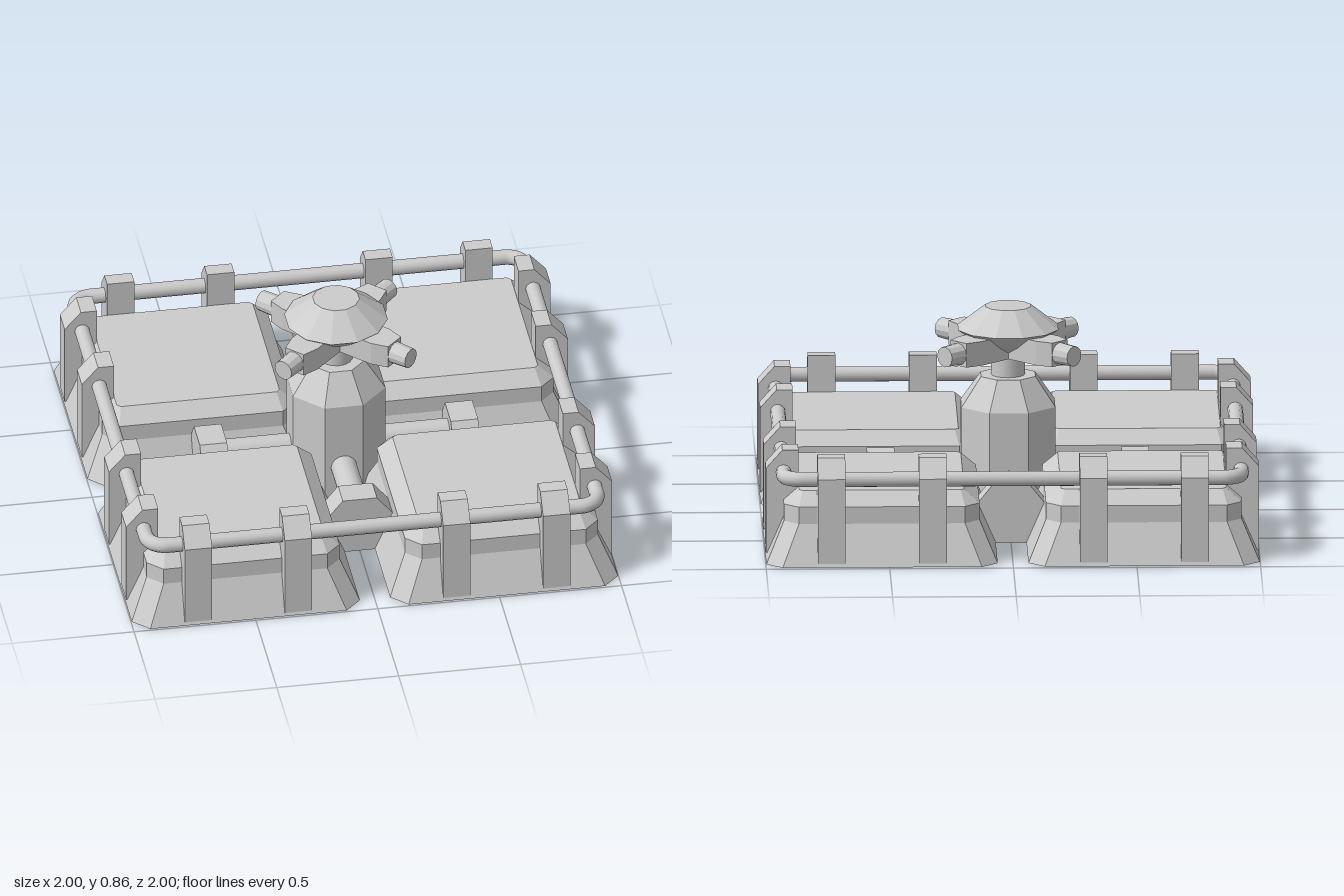
import * as THREE from 'three';

const flat = new THREE.MeshStandardMaterial({ color: 0xcccccc, flatShading: true });
const smooth = new THREE.MeshStandardMaterial({ color: 0xcccccc });

function add(parent, name, geometry, material = flat) {
  const mesh = new THREE.Mesh(geometry, material);
  mesh.name = name;
  parent.add(mesh);
  return mesh;
}

// Square outline with cut corners, half width h and corner cut c
function cutSquare(h, c) {
  const k = h - c;
  return [[h, -k], [h, k], [k, h], [-k, h], [-h, k], [-h, -k], [-k, -h], [k, -h]];
}

// Closed solid through stacked cut squares: [y, half width, corner cut]
function stackGeometry(levels) {
  const pos = [], idx = [], n = 8;
  for (const [y, h, c] of levels) for (const [x, z] of cutSquare(h, c)) pos.push(x, y, z);
  for (let l = 0; l < levels.length - 1; l++) {
    for (let i = 0; i < n; i++) {
      const a = l * n + i, b = l * n + (i + 1) % n;
      idx.push(a, a + n, b, b, a + n, b + n);
    }
  }
  const t = (levels.length - 1) * n;
  for (let i = 1; i < n - 1; i++) {
    idx.push(0, i, i + 1);
    idx.push(t, t + i + 1, t + i);
  }
  const g = new THREE.BufferGeometry();
  g.setAttribute('position', new THREE.Float32BufferAttribute(pos, 3));
  g.setIndex(idx);
  const out = g.toNonIndexed();
  out.computeVertexNormals();
  return out;
}

// Outline in x/y extruded along z, centred on z = 0
function prism(points, depth) {
  const shape = new THREE.Shape(points.map(([x, y]) => new THREE.Vector2(x, y)));
  return new THREE.ExtrudeGeometry(shape, { depth, bevelEnabled: false }).translate(0, 0, -depth / 2);
}

// Straight-sided solid of revolution with a flat side facing the front
function turned(points, sides) {
  return new THREE.LatheGeometry(points.map(([r, y]) => new THREE.Vector2(r, y)), sides, Math.PI / sides);
}

export function createModel() {
  const model = new THREE.Group();
  model.name = 'platform';

  // Four raised pads with bevelled sides
  const padGeo = stackGeometry([
    [0.005, 0.468, 0.065], [0.17, 0.396, 0.06], [0.24, 0.396, 0.06], [0.295, 0.334, 0.015],
  ]);
  for (const x of [-1, 1]) {
    for (const z of [-1, 1]) add(model, 'pad', padGeo).position.set(x * 0.53, 0, z * 0.53);
  }

  // Posts, connecting arms and bridge blocks, repeated on each side
  const postGeo = prism([[0.865, 0.02], [0.997, 0.02], [0.997, 0.37], [0.93, 0.445], [0.865, 0.445]], 0.112);
  const bridgeGeo = prism(
    [[-0.065, 0.003], [0.065, 0.003], [0.135, 0.17], [0.07, 0.25], [-0.07, 0.25], [-0.135, 0.17]], 0.112);
  const armGeo = new THREE.CylinderGeometry(0.053, 0.053, 0.37, 16).rotateX(Math.PI / 2);
  for (let i = 0; i < 4; i++) {
    const side = new THREE.Group();
    side.name = 'side';
    side.rotation.y = i * Math.PI / 2;
    model.add(side);
    for (const z of [-0.735, -0.325, 0.325, 0.735]) add(side, 'railPost', postGeo).position.z = z;
    add(side, 'bridgeBlock', bridgeGeo).position.z = 0.515;
    add(side, 'connectingArm', armGeo, smooth).position.set(0, 0.16, 0.32);
  }

  // Guard rail: one closed tube with tight corners
  const path = new THREE.CurvePath();
  const corners = cutSquare(0.925, 0.07).map(([x, z]) => new THREE.Vector3(x, 0.354, z));
  corners.forEach((p, i) => {
    const q = corners[(i + 1) % 8];
    if (i % 2 === 0) path.add(new THREE.LineCurve3(p, q));
    else {
      const bend = new THREE.Vector3(Math.sign(p.x) * 0.915, 0.354, Math.sign(p.z) * 0.915);
      path.add(new THREE.QuadraticBezierCurve3(p, bend, q));
    }
  });
  add(model, 'guardRail', new THREE.TubeGeometry(path, 400, 0.031, 12, true), smooth);

  // Central eight-sided hub
  const k = 1 / Math.cos(Math.PI / 8);
  add(model, 'hub', turned([[0, 0], [0.19 * k, 0], [0.19 * k, 0.45], [0.11 * k, 0.57], [0, 0.57]], 8));
  add(model, 'neck', new THREE.CylinderGeometry(0.068, 0.068, 0.16, 16), smooth).position.y = 0.64;

  // Turret head: shallow cap above a cone underside
  add(model, 'cap', turned([[0, 0.66], [0.07, 0.66], [0.21, 0.765], [0.095, 0.855], [0, 0.855]], 12));

  // Four lamps on diagonal mounts
  const mountGeo = prism([[-0.065, 0.05], [0.065, 0.05], [0.065, 0.22], [0.045, 0.29], [-0.045, 0.29], [-0.065, 0.22]], 0.1)
    .rotateX(Math.PI / 2);
  const lampGeo = new THREE.CylinderGeometry(0.042, 0.048, 0.15, 12).rotateX(Math.PI / 2);
  for (let i = 0; i < 4; i++) {
    const lamp = new THREE.Group();
    lamp.name = 'lamp';
    lamp.rotation.y = Math.PI / 4 + i * Math.PI / 2;
    lamp.position.y = 0.703;
    add(lamp, 'lampMount', mountGeo);
    add(lamp, 'lampBarrel', lampGeo).position.z = 0.295;
    model.add(lamp);
  }
  return model;
}
